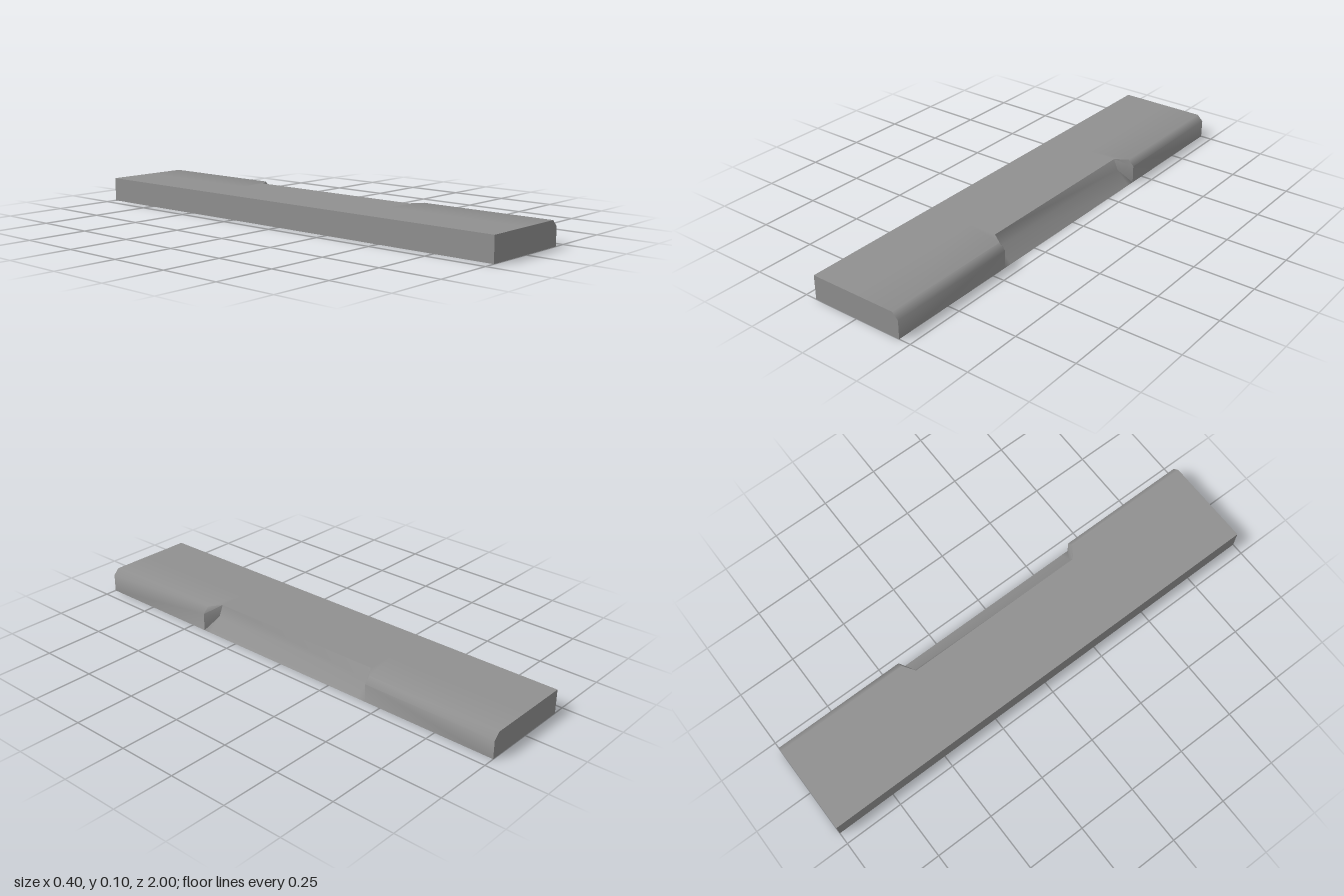
import * as THREE from 'three';
import { toCreasedNormals } from 'three/addons/utils/BufferGeometryUtils.js';

// Cross-sections, counter-clockwise seen from the front
const FULL = [[-0.2, 0], [0.2, 0], [0.2, 0.075], [0.175, 0.1], [0, 0.1], [-0.2, 0.1]];
const NOTCHED = [[-0.2, 0], [0.2, 0], [0.145, 0.055], [0.125, 0.1], [0, 0.1], [-0.2, 0.1]];

// Skins a row of matching cross-sections along z and caps both ends
function loft(sections) {
  const n = sections[0].profile.length;
  const positions = [];
  const point = (s, i) => [...sections[s].profile[i % n], sections[s].z];
  const triangle = (a, b, c) => positions.push(...a, ...b, ...c);

  for (let s = 0; s < sections.length - 1; s++) {
    const mirrored = sections[s].z + sections[s + 1].z > 0;
    for (let i = 0; i < n; i++) {
      const a = point(s, i), b = point(s, i + 1);
      const c = point(s + 1, i + 1), d = point(s + 1, i);
      if (mirrored) {
        triangle(a, b, d);
        triangle(b, c, d);
      } else {
        triangle(a, b, c);
        triangle(a, c, d);
      }
    }
  }
  const last = sections.length - 1;
  for (let i = 1; i < n - 1; i++) {
    triangle(point(0, 0), point(0, i + 1), point(0, i));
    triangle(point(last, 0), point(last, i), point(last, i + 1));
  }
  const geometry = new THREE.BufferGeometry();
  geometry.setAttribute('position', new THREE.Float32BufferAttribute(positions, 3));
  return toCreasedNormals(geometry, THREE.MathUtils.degToRad(50));
}

export function createModel() {
  const group = new THREE.Group();
  group.name = 'notchedPlank';

  const grey = new THREE.MeshStandardMaterial({ color: 0x909090 });
  grey.name = 'grey';

  // Plank with one bevelled long edge and a recess with splayed ends
  const plank = new THREE.Mesh(loft([
    { z: -1, profile: FULL },
    { z: -0.43, profile: FULL },
    { z: -0.395, profile: NOTCHED },
    { z: 0.395, profile: NOTCHED },
    { z: 0.43, profile: FULL },
    { z: 1, profile: FULL },
  ]), grey);
  plank.name = 'plank';
  group.add(plank);

  return group;
}
